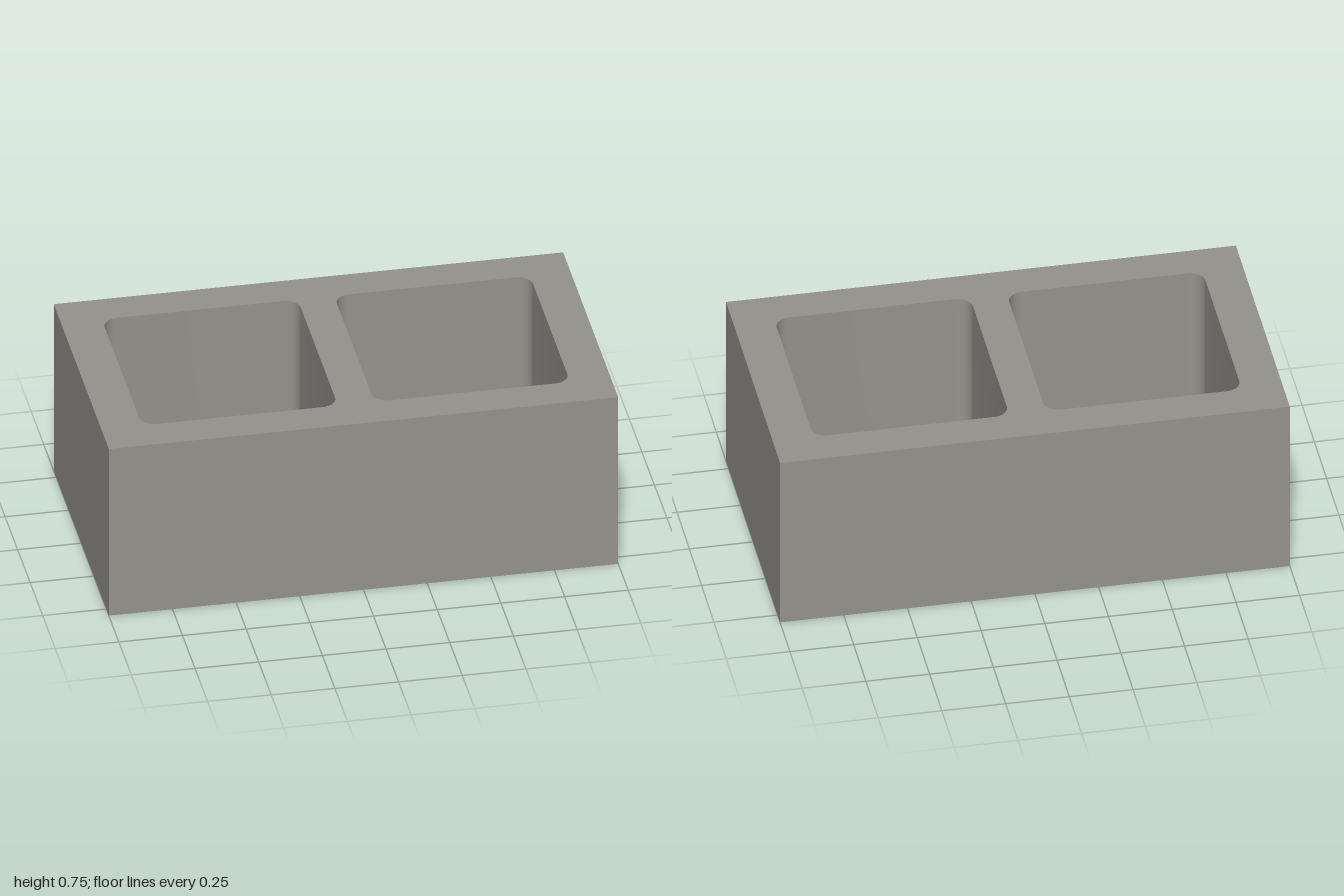
import * as THREE from 'three';
import { toCreasedNormals } from 'three/addons/utils/BufferGeometryUtils.js';

const WIDTH = 2, HEIGHT = 0.75, DEPTH = 1.1;

// Rounded rectangle path centred on (cx, 0), used for each hollow core
function corePath(cx, w, d, r) {
  const x = w / 2 - r, y = d / 2 - r, q = Math.PI / 2;
  const path = new THREE.Path();
  [[x, y], [-x, y], [-x, -y], [x, -y]].forEach(([px, py], i) =>
    path.absarc(cx + px, py, r, i * q, (i + 1) * q, false));
  path.closePath();
  return path;
}

export function createModel() {
  const concrete = new THREE.MeshStandardMaterial({ color: 0x94928c });
  concrete.name = 'concrete grey';

  // Plan outline of the block
  const w = WIDTH / 2, d = DEPTH / 2;
  const outline = new THREE.Shape([
    new THREE.Vector2(-w, -d), new THREE.Vector2(w, -d),
    new THREE.Vector2(w, d), new THREE.Vector2(-w, d),
  ]);

  // Two mirrored cores run right through it
  for (const side of [-1, 1]) outline.holes.push(corePath(side * 0.456, 0.77, 0.805, 0.06));

  // Extrude upwards, with sharp rims and smooth core corners
  const solid = new THREE.ExtrudeGeometry(outline, {
    depth: HEIGHT, bevelEnabled: false, curveSegments: 12,
  });
  solid.rotateX(-Math.PI / 2);
  const block = new THREE.Mesh(toCreasedNormals(solid, 0.4), concrete);
  block.name = 'hollowBlock';

  const model = new THREE.Group();
  model.name = 'concreteBlock';
  model.add(block);
  return model;
}
